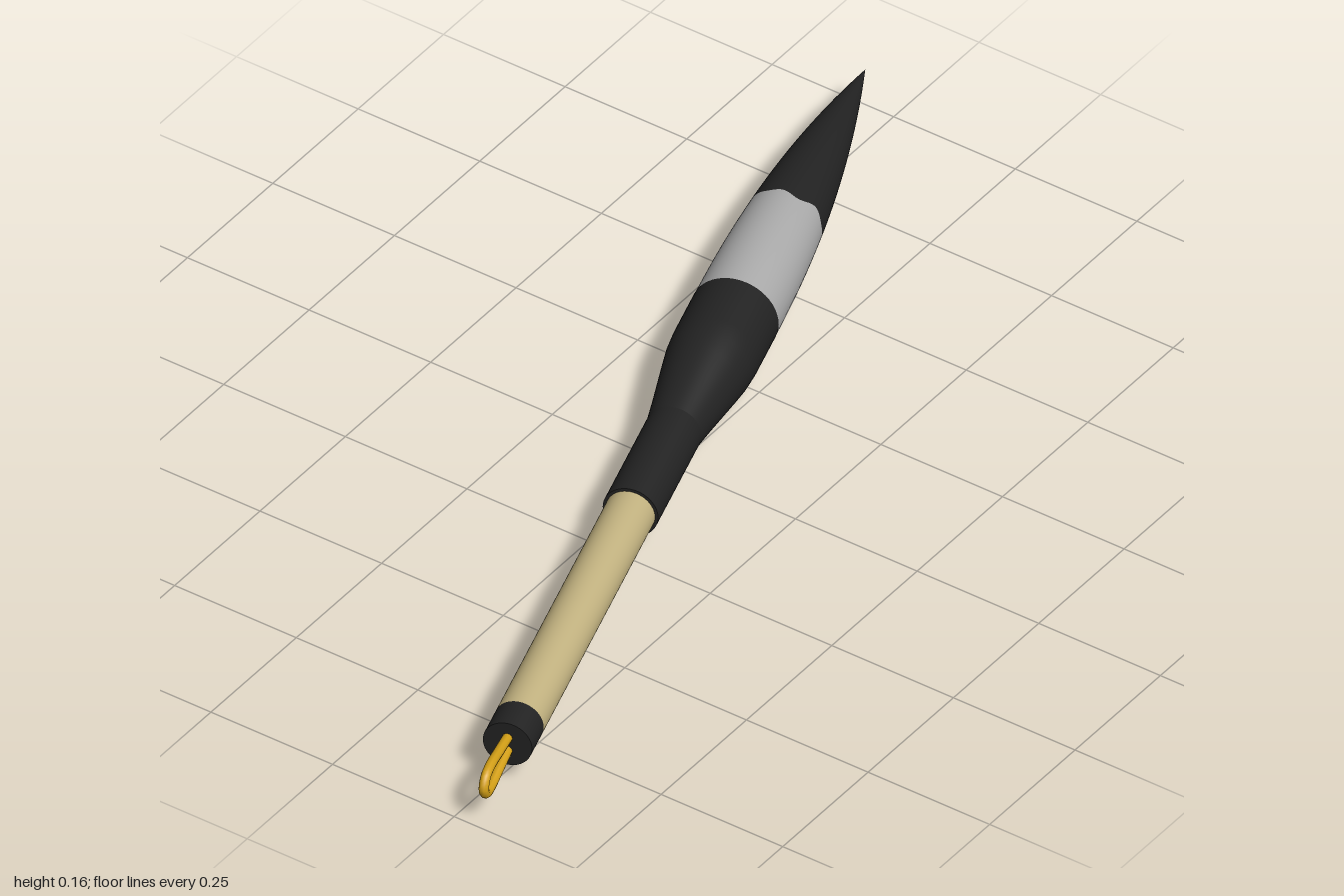
import * as THREE from 'three';

const SEG = 48;
const material = (name, color) => {
  const m = new THREE.MeshStandardMaterial({ color });
  m.name = name;
  return m;
};

// Bristle outline: distance along the brush -> radius
const START = 0.332, TIP = 1.043, BELLY = 0.077;
const bristleRadius = t => BELLY * (1 - Math.pow(Math.min(1, (t - START) / (TIP - START)), 2.2));

// Wavy edge of the dipped tip, sagging back on the lower front
const dipEdge = phi => 0.6 + 0.004 * Math.sin(7 * phi) + 0.004 * Math.cos(4 * phi + 2)
  + 0.055 * Math.exp(-Math.pow((phi - 1.25) / 0.45, 2));

// Lathe whose two ends follow functions of the angle
function bristleGeometry(from, to, rows) {
  const pts = [];
  for (let j = 0; j <= rows; j++) {
    const t = THREE.MathUtils.lerp(from(Math.PI), to(Math.PI), j / rows);
    pts.push(new THREE.Vector2(bristleRadius(t), t));
  }
  const sides = 72, geo = new THREE.LatheGeometry(pts, sides);
  const pos = geo.attributes.position;
  for (let i = 0; i <= sides; i++) {
    const phi = (i / sides) * Math.PI * 2;
    for (let j = 0; j <= rows; j++) {
      const t = THREE.MathUtils.lerp(from(phi), to(phi), j / rows), r = bristleRadius(t);
      pos.setXYZ(i * (rows + 1) + j, r * Math.sin(phi), t, r * Math.cos(phi));
    }
  }
  return geo;
}

export function createModel() {
  const black = material('black', 0x222222);
  const wood = material('pale wood', 0xc2b280);
  const grey = material('grey bristle', 0xaaaaaa);
  const gold = material('gold', 0xd4a017);

  const model = new THREE.Group();
  model.name = 'paintbrush';
  const brush = new THREE.Group();
  brush.name = 'brush';
  brush.position.y = 0.0775;
  brush.rotation.y = 0.298;
  model.add(brush);

  // Parts are turned around y, then laid along x
  const add = (name, geo, mat) => {
    geo.rotateZ(-Math.PI / 2);
    const mesh = new THREE.Mesh(geo, mat);
    mesh.name = name;
    brush.add(mesh);
  };
  const rod = (name, from, to, r, mat) => {
    const geo = new THREE.CylinderGeometry(r, r, to - from, SEG);
    geo.translate(0, (from + to) / 2, 0);
    add(name, geo, mat);
  };

  // Handle
  rod('endCap', -0.907, -0.844, 0.0435, black);
  rod('handle', -0.844, -0.23, 0.0435, wood);
  rod('collar', -0.237, 0, 0.049, black);

  // Ferrule flaring out to the bristles
  const flare = [[0.049, 0], [0.055, 0.045], [0.0625, 0.095], [0.07, 0.145], [0.0755, 0.185], [0.0775, 0.22], [0.0775, START]];
  add('ferrule', new THREE.LatheGeometry(flare.map(p => new THREE.Vector2(...p)), SEG), black);

  // Bristles with a dipped tip
  add('bristles', bristleGeometry(() => START, dipEdge, 12), grey);
  add('bristleTip', bristleGeometry(dipEdge, () => TIP, 20), black);

  // Hanging loop, upright and tapering into the cap
  const loop = [[-0.895, 0.012], [-0.95, 0.018], [-1.0, 0.023], [-1.025, 0.018], [-1.036, 0]];
  const path = [...loop, ...loop.slice(0, -1).reverse().map(([x, y]) => [x, -y])];
  const curve = new THREE.CatmullRomCurve3(path.map(([x, y]) => new THREE.Vector3(x, y, 0)));
  const hanger = new THREE.Mesh(new THREE.TubeGeometry(curve, 60, 0.009, 10), gold);
  hanger.name = 'hangingLoop';
  brush.add(hanger);

  return model;
}
